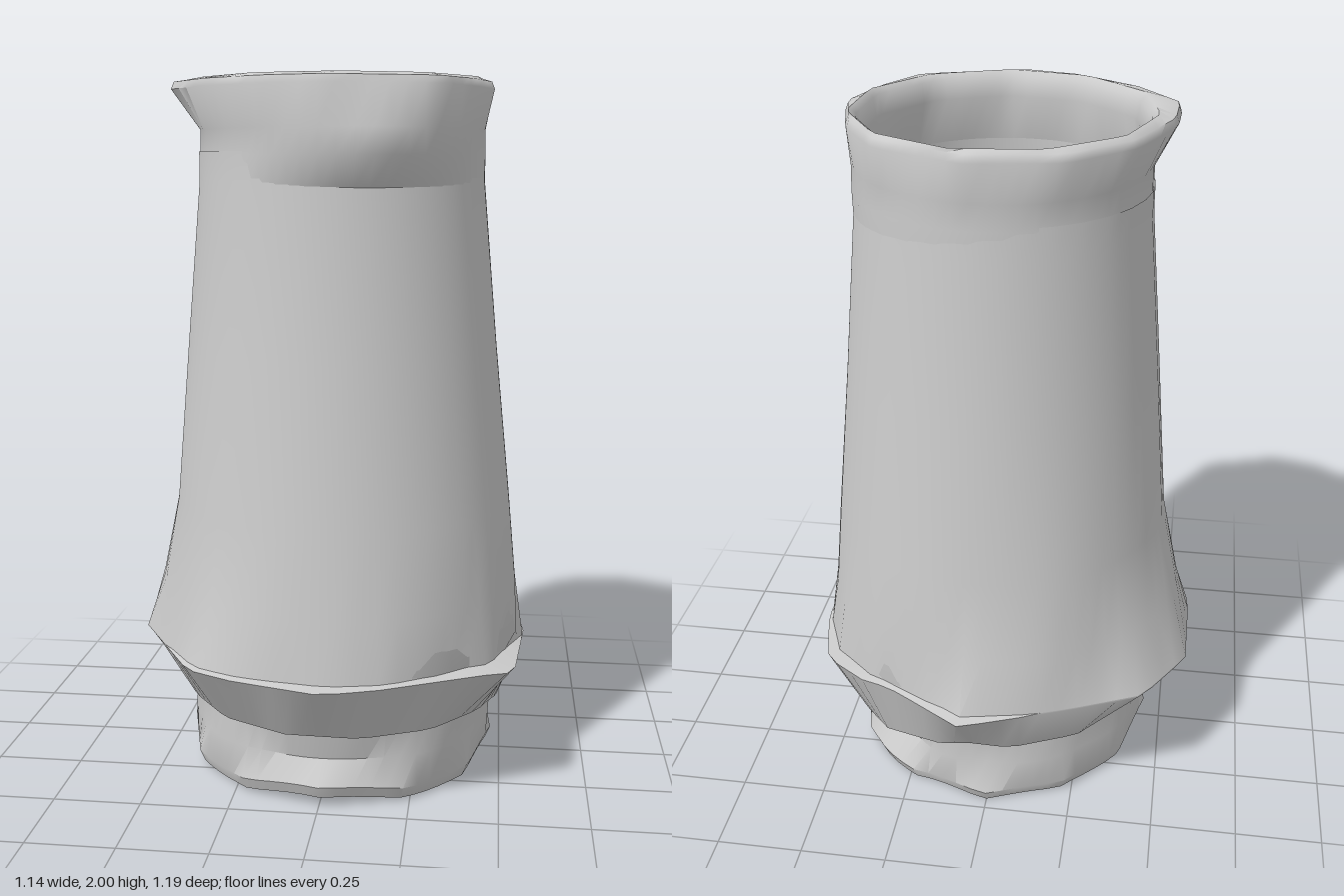
import * as THREE from 'three';
import { toCreasedNormals } from 'three/addons/utils/BufferGeometryUtils.js';

const SEGMENTS = 60;

// Radius of an outline of [x, z] corners along the direction of angle a (0 = +z, turning to +x)
function outlineRadius(points, a) {
  const dx = Math.sin(a), dz = Math.cos(a);
  let best = 0;
  points.forEach(([x1, z1], i) => {
    const [x2, z2] = points[(i + 1) % points.length];
    const ex = x2 - x1, ez = z2 - z1;
    const det = dx * ez - dz * ex;
    if (Math.abs(det) < 1e-9) return;
    const r = (x1 * ez - z1 * ex) / det;
    const s = (x1 * dz - z1 * dx) / det;
    if (r > 0 && s >= -1e-6 && s <= 1 + 1e-6) best = Math.max(best, r);
  });
  return best;
}

// A regular polygon as an outline
function polygon(r, sides, turn = 0, cx = 0, cz = 0) {
  return Array.from({ length: sides }, (_, i) => {
    const a = turn + (i / sides) * Math.PI * 2;
    return [cx + r * Math.sin(a), cz + r * Math.cos(a)];
  });
}

// Peak around one direction, falling straight to zero at the given width
function bump(a, centre, width) {
  const d = Math.atan2(Math.sin(a - centre), Math.cos(a - centre));
  return Math.max(0, 1 - Math.abs(d) / width);
}

// Skin through rings; each ring is [outline, height or height(angle), optional radius offset(angle)]
function loft(name, rings, material, crease = 0.6) {
  const position = [], index = [];
  for (const [outline, y, offset] of rings) {
    for (let i = 0; i <= SEGMENTS; i++) {
      const a = ((i % SEGMENTS) / SEGMENTS) * Math.PI * 2;
      const r = outlineRadius(outline, a) + (offset ? offset(a) : 0);
      position.push(r * Math.sin(a), typeof y === 'function' ? y(a) : y, r * Math.cos(a));
    }
  }
  const row = SEGMENTS + 1;
  for (let j = 0; j < rings.length - 1; j++) {
    for (let i = 0; i < SEGMENTS; i++) {
      const p = j * row + i;
      index.push(p, p + 1, p + row + 1, p, p + row + 1, p + row);
    }
  }
  const geometry = new THREE.BufferGeometry();
  geometry.setAttribute('position', new THREE.Float32BufferAttribute(position, 3));
  geometry.setIndex(index);
  const mesh = new THREE.Mesh(toCreasedNormals(geometry, crease), material);
  mesh.name = name;
  return mesh;
}

export function createModel() {
  const group = new THREE.Group();
  group.name = 'vase';
  const grey = new THREE.MeshStandardMaterial({ color: 0xcccccc, side: THREE.DoubleSide });
  const circle = (r, cx = 0.015, cz = 0) => polygon(r, 30, 0, cx, cz);

  // Uneven outlines of the shoulder and the rim
  const shoulder = [
    [0.06, -0.6], [0.3, -0.45], [0.38, -0.42], [0.51, -0.32], [0.57, -0.09], [0.535, 0.365], [0.17, 0.55],
    [0.02, 0.6], [-0.23, 0.53], [-0.365, 0.465], [-0.57, 0.11], [-0.57, -0.19], [-0.45, -0.39], [-0.25, -0.48],
  ];
  const rim = [
    [0.05, -0.44], [0.29, -0.34], [0.4, -0.17], [0.45, 0.03], [0.4, 0.2], [0.31, 0.36], [0.02, 0.46],
    [-0.15, 0.42], [-0.33, 0.3], [-0.455, 0.14], [-0.45, -0.03], [-0.36, -0.25], [-0.2, -0.4],
  ];
  const mouth = polygon(0.395, 11, 0.1, 0.01, -0.01);

  // The wall spreads into the shoulder at the left and back; a ledge shows at the front and right
  const shoulderY = (a) => 0.39 - 0.035 * bump(a, 1.75, 0.9);
  const flare = (a) => 0.03 * bump(a, -1.75, 0.7) + 0.015 * bump(a, -2.8, 0.4);
  const ledge = (a) => -0.045 * bump(a, 0, 0.6) - 0.08 * bump(a, 0.97, 0.6) - 0.045 * bump(a, 2.2, 0.6)
    - 0.04 * bump(a, 3, 0.4) - 0.02 * bump(a, -0.65, 0.4);

  // Tapering wall
  group.add(loft('body', [
    [shoulder, (a) => shoulderY(a) + 0.005, ledge],
    [circle(0.523, 0.015, 0.01), 0.56, flare],
    [circle(0.495, 0.02, 0.008), 0.8],
    [circle(0.453, 0.015, 0.003), 1.25],
    [circle(0.411, 0.013), 1.72],
    [circle(0.408, 0.01), 1.8],
  ], grey));

  // Skirt folding in below the shoulder, hanging lowest towards the right and back
  const skirtY = (a) => 0.21 - 0.09 * bump(a, 2.1, 0.9);
  group.add(loft('skirt', [
    [polygon(0.47, 14, 0.2, 0.022, 0), skirtY],
    [shoulder, shoulderY],
    [shoulder, (a) => shoulderY(a) + 0.005, ledge],
  ], grey));

  // Flared collar with a deep fold at the front right, rolled over into the mouth
  const fold = (a) => 0.07 * bump(a, 0.35, 0.9);
  group.add(loft('collar', [
    [circle(0.408), 1.7],
    [circle(0.41), 1.79, fold],
    [circle(0.408), 1.86, fold],
    [rim, 1.97],
    [rim, 1.99, () => -0.008],
    [mouth, 2, () => 0.018],
    [mouth, 1.985, () => 0],
    [mouth, 1.93, () => -0.008],
    [circle(0.398, 0.01), 1.8],
  ], grey, 0.9));

  // Thin inner wall
  group.add(loft('innerWall', [
    [circle(0.398, 0.01), 1.8],
    [circle(0.402, 0.013), 1.72],
    [circle(0.444, 0.015, 0.003), 1.25],
    [circle(0.486, 0.02, 0.008), 0.8],
    [circle(0.53, 0.015, 0.01), 0.4],
    [circle(0.45), 0.215],
    [circle(0.39), 0.207],
  ], grey));

  // Floor, recessed above the foot
  const floor = new THREE.Mesh(new THREE.CylinderGeometry(0.4, 0.4, 0.012, 30), grey);
  floor.name = 'floor';
  floor.position.set(0.01, 0.207, 0);
  group.add(floor);

  // Thin hollow foot, nearly straight, pinched at the front and at the back right corner
  const footY = (a) => (0.015 + 0.015 * Math.cos(4 * a)) * (1 - bump(a, Math.PI, 0.9));
  const pinch = (a) => -0.025 * bump(a, 0, 0.8) - 0.045 * bump(a, 2.36, 0.5) + 0.005 * Math.cos(9 * a);
  const spread = (a) => 0.02 * (bump(a, 0, 0.6) + bump(a, Math.PI, 0.6) + bump(a, 2.36, 0.4));
  const foot = polygon(0.46, 12, 0, 0.012, 0);
  group.add(loft('foot', [
    [circle(0.39), 0.205],
    [circle(0.425), 0.12, pinch],
    [foot, (a) => footY(a) + 0.035, (a) => spread(a) - 0.015],
    [foot, footY, (a) => spread(a) - 0.015],
    [foot, (a) => footY(a) + 0.035, spread],
    [circle(0.447), 0.13, pinch],
    [circle(0.452, 0.02), 0.23],
  ], grey));

  return group;
}
